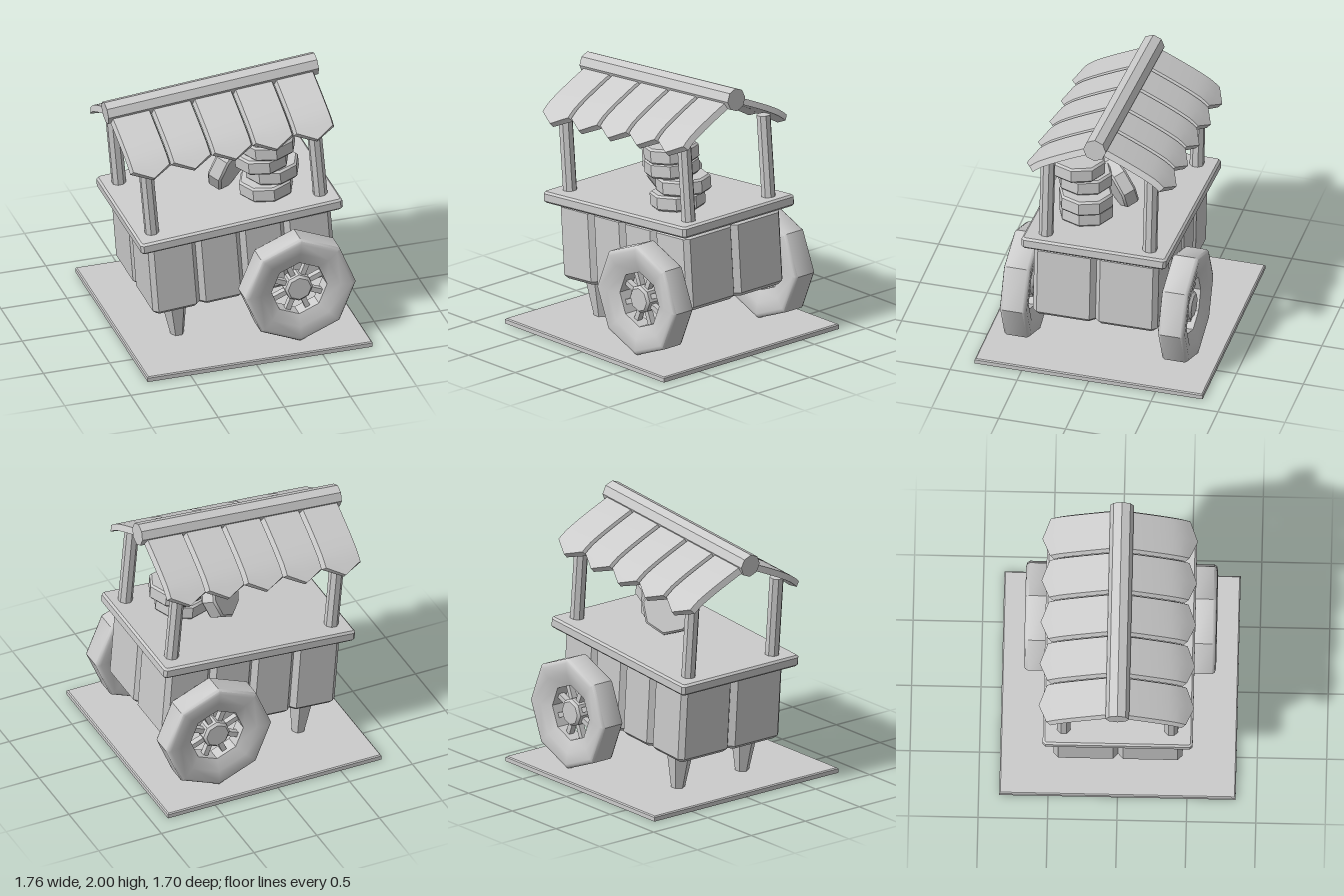
import * as THREE from 'three';
import { toCreasedNormals } from 'three/addons/utils/BufferGeometryUtils.js';

const TILT = 0.0873; // the cart rests nose-down on its short legs
const MID = 0.077;   // middle of the tilted cart along its length

const material = new THREE.MeshStandardMaterial({ color: 0xcccccc });
const openMaterial = new THREE.MeshStandardMaterial({ color: 0xcccccc, side: THREE.DoubleSide });

function addMesh(parent, name, geometry, x = 0, y = 0, z = 0, crease = 0.6) {
  const mesh = new THREE.Mesh(toCreasedNormals(geometry, crease), material);
  mesh.name = name;
  mesh.position.set(x, y, z);
  parent.add(mesh);
  return mesh;
}

// Upright prism with chamfered top and bottom rims, centred on y = 0
function prism(points, height, bevel) {
  const shape = new THREE.Shape(points.map(([x, z]) => new THREE.Vector2(x, z)));
  const geometry = new THREE.ExtrudeGeometry(shape, {
    depth: height - 2 * bevel, bevelEnabled: true, bevelSegments: 1,
    bevelThickness: bevel, bevelSize: bevel, bevelOffset: -bevel,
  });
  return geometry.translate(0, 0, bevel - height / 2).rotateX(-Math.PI / 2);
}

// Rectangle outline with cut corners and V grooves at the given spots
function outline(w, d, cut, xGrooves = [], zGrooves = [], half = 0.036, depth = 0.04) {
  const points = [];
  const side = (length, offset, grooves, place) => {
    points.push(place(-length + cut, -offset));
    grooves.forEach((g) => points.push(
      place(g - half, -offset), place(g, -offset + depth), place(g + half, -offset)));
    points.push(place(length - cut, -offset));
  };
  const flipped = xGrooves.map((g) => -g).reverse();
  side(w / 2, d / 2, xGrooves, (a, b) => [a, b]);
  side(d / 2, w / 2, zGrooves, (a, b) => [-b, a]);
  side(w / 2, d / 2, flipped, (a, b) => [-a, -b]);
  side(d / 2, w / 2, zGrooves, (a, b) => [b, -a]);
  return points;
}

// Few-sided lathe with a corner on each main axis
function lathe(points, sides = 8) {
  return new THREE.LatheGeometry(points.map(([r, y]) => new THREE.Vector2(r, y)), sides);
}

function disc(radius, thickness, bevel) {
  const h = thickness / 2;
  return lathe([[0, -h], [radius - bevel, -h], [radius, -h + bevel],
    [radius, h - bevel], [radius - bevel, h], [0, h]]);
}

// Curved awning slat with a pointed lower end and chamfered long sides
function slatGeometry() {
  const curve = new THREE.CatmullRomCurve3([
    [0.04, 1.848], [0.2, 1.777], [0.34, 1.71], [0.45, 1.648], [0.56, 1.549],
  ].map(([z, y]) => new THREE.Vector3(0, y, z)));
  const geometry = new THREE.BoxGeometry(2, 1, 1, 2, 1, 8);
  const pos = geometry.attributes.position;
  for (let i = 0; i < pos.count; i++) {
    const x = pos.getX(i), top = pos.getY(i) > 0, s = pos.getZ(i) + 0.5;
    const u = s - 0.13 * Math.abs(x) * s ** 5;
    const p = curve.getPointAt(u), t = curve.getTangentAt(u);
    const drop = top ? 0 : 0.045;
    pos.setXYZ(i, x * (top ? 0.137 : 0.154), p.y - t.z * drop, p.z + t.y * drop);
  }
  return geometry;
}

function createWheel() {
  const wheel = new THREE.Group();
  wheel.name = 'wheel';
  addMesh(wheel, 'wheelRim', lathe([
    [0.21, -0.055], [0.3, -0.09], [0.385, -0.1], [0.408, -0.093], [0.42, -0.075],
    [0.42, 0.075], [0.408, 0.093], [0.385, 0.1], [0.3, 0.09], [0.21, 0.055], [0.21, -0.055],
  ]).rotateX(Math.PI / 2), 0, 0, 0, 0.75);
  addMesh(wheel, 'hub', disc(0.105, 0.13, 0.018).rotateX(Math.PI / 2));
  for (let i = 0; i < 8; i++) {
    const spoke = new THREE.BoxGeometry(0.16, 0.038, 0.045).translate(0.145, 0, 0);
    addMesh(wheel, 'spoke', spoke).rotation.z = (i + 0.5) * Math.PI / 4;
  }
  return wheel;
}

export function createModel() {
  const model = new THREE.Group();
  model.name = 'marketCart';

  // Shallow square tray, open underneath
  const half = 0.851 * Math.SQRT2;
  const plate = lathe([[half, 0], [half, 0.031], [half - 0.012, 0.039], [0, 0.039]], 4);
  addMesh(model, 'groundPlate', plate.rotateY(Math.PI / 4), 0.026, 0, 0).material = openMaterial;

  // Wheels
  for (const side of [-1, 1]) {
    const wheel = createWheel();
    wheel.position.set(0.388, 0.456, side * 0.59);
    model.add(wheel);
  }

  const cart = new THREE.Group();
  cart.name = 'tiltedCart';
  cart.rotation.z = TILT;
  model.add(cart);

  // Tapered legs under the low end
  for (const z of [-0.305, 0.287]) {
    const leg = new THREE.CylinderGeometry(0.104, 0.05, 0.325, 6).rotateY(Math.PI / 2);
    addMesh(cart, 'leg', leg, -0.415, 0.2345, z);
  }

  // Planked body and counter, sitting a touch flatter than the posts
  const body = prism(outline(1.385, 0.93, 0.035, [-0.335, 0, 0.335], [0]), 0.571, 0.03);
  addMesh(cart, 'body', body, MID, 0.633, 0).rotation.z = -0.013;
  const counter = prism(outline(1.53, 1.08, 0.02), 0.085, 0.015);
  addMesh(cart, 'counter', counter, MID, 0.966, 0).rotation.z = -0.007;

  // Roof posts
  for (const x of [-0.557, 0.72]) {
    for (const z of [-0.39, 0.385]) {
      const post = new THREE.CylinderGeometry(0.053, 0.053, 0.625, 8).rotateY(Math.PI / 8);
      addMesh(cart, 'post', post, x, 1.3025, z);
    }
  }

  // Ridge pole and awning
  const ridge = new THREE.CylinderGeometry(0.085, 0.085, 1.595, 8).rotateZ(Math.PI / 2);
  addMesh(cart, 'ridgePole', ridge, 0.083, 1.845, 0);
  const slat = slatGeometry();
  for (const turn of [0, Math.PI]) {
    const awning = new THREE.Group();
    awning.name = turn ? 'backAwning' : 'frontAwning';
    awning.position.set(MID, 0, -0.01);
    awning.rotation.y = turn;
    for (let i = -2; i <= 2; i++) addMesh(awning, 'awningSlat', slat, i * 0.31, 0, 0);
    cart.add(awning);
  }

  // Stack of round goods, with one leaning against it
  const goods = disc(0.2, 0.116, 0.015);
  const stack = [[0.38, 1.068, 0.18], [0.44, 1.19, 0.17], [0.36, 1.313, 0.2], [0.41, 1.437, 0.24]];
  stack.forEach(([x, y, z]) => addMesh(cart, 'stackedDisc', goods, x, y, z));
  const leaning = addMesh(cart, 'leaningDisc', goods, 0.163, 1.195, 0.005);
  leaning.quaternion.setFromUnitVectors(
    new THREE.Vector3(0, 1, 0), new THREE.Vector3(0.6, -0.38, 0.7).normalize());

  return model;
}
